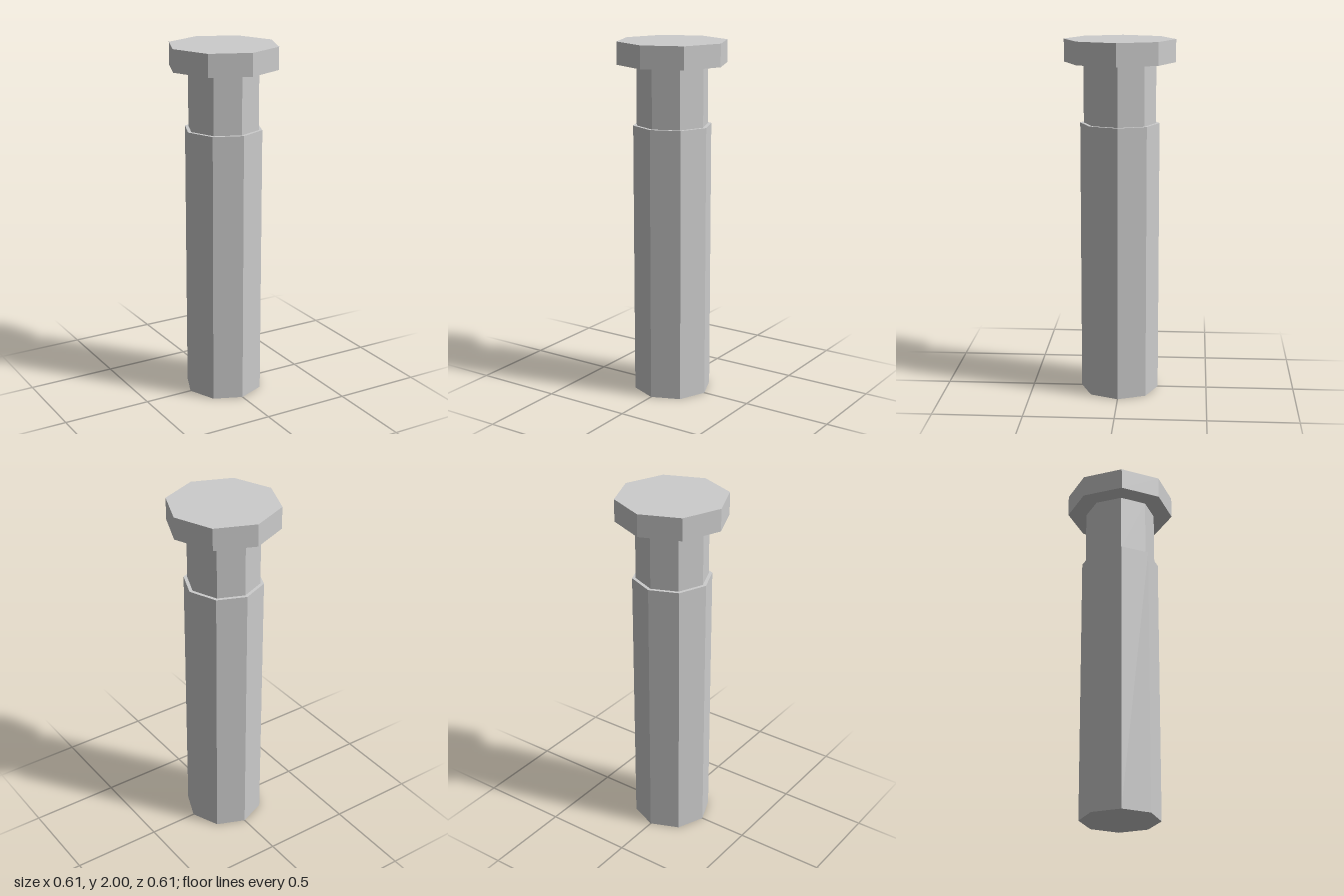
import * as THREE from 'three';

export function createModel() {
  const model = new THREE.Group();
  model.name = 'bolt';
  const grey = new THREE.MeshStandardMaterial({ color: 0xcccccc, flatShading: true });
  grey.name = 'light grey';

  // Eight-sided prism between two heights, with corners on the x and z axes
  function prism(name, radius, bottom, top, open = false) {
    const geometry = new THREE.CylinderGeometry(radius, radius, top - bottom, 8, 1, open);
    const mesh = new THREE.Mesh(geometry, grey);
    mesh.name = name;
    mesh.position.y = (bottom + top) / 2;
    model.add(mesh);
  }

  prism('shaft', 0.22, 0, 1.54);
  prism('neck', 0.2, 1.54, 1.875, true); // both ends meet the other parts
  prism('head', 0.307, 1.875, 2);

  return model;
}
